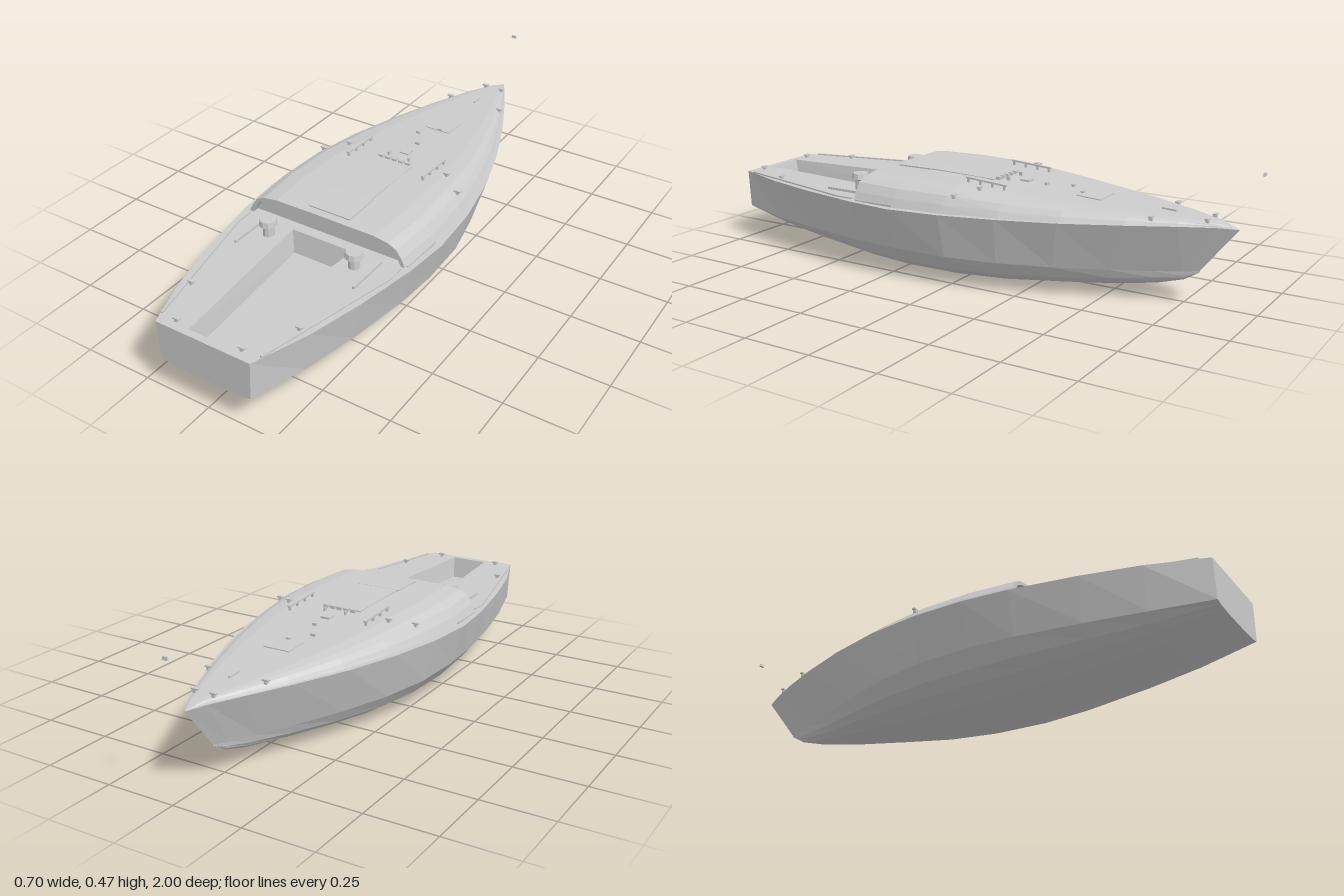
import * as THREE from 'three';

const mat = new THREE.MeshStandardMaterial({ color: 0xcccccc, flatShading: true, side: THREE.DoubleSide });

// z at sheer, z at chine, half beam, sheer y, chine half beam, chine y, keel y, roof y
const stations = [
  [1, 1, .18, .26, .172, .12, .11, .26],
  [.8, .8, .25, .26, .225, .112, .06, .26],
  [.6, .6, .298, .26, .265, .11, .033, .26],
  [.37, .37, .338, .26, .298, .11, .01, .343],
  [.2, .2, .352, .26, .308, .11, 0, .345],
  [0, 0, .34, .265, .298, .108, 0, .343],
  [-.2, -.18, .303, .27, .258, .106, .006, .33],
  [-.4, -.36, .243, .273, .195, .105, .022, .318],
  [-.6, -.53, .163, .277, .12, .105, .038, .308],
  [-.75, -.66, .093, .279, .06, .107, .057, .3],
  [-.86, -.75, .036, .278, .022, .11, .08, .291],
  [-.925, -.8, 0, .272, 0, .115, .11, .273],
];
// Bottom and roof half sections as fractions [across, up]
const bilge = [[1, 1], [.86, .5], [.7, .23], [.41, 0], [0, 0]];
const crown = [[1, 0], [.93, 0], [.89, .35], [.83, .7], [.74, .88], [.58, .98], [0, 1]];

// Skin between rows of points
function loft(rows, cap = false) {
  const n = rows[0].length, index = [];
  for (let i = 0; i < rows.length - 1; i++) {
    for (let j = 0; j < n - 1; j++) {
      const a = i * n + j, d = a + n;
      index.push(a, a + 1, d + 1, a, d + 1, d);
    }
  }
  if (cap) for (let k = 1; k < n - 1; k++) index.push(0, k + 1, k);
  const g = new THREE.BufferGeometry();
  g.setAttribute('position', new THREE.Float32BufferAttribute(rows.flat(2), 3));
  g.setIndex(index);
  g.computeVertexNormals();
  return g;
}

// Complete a half section that ends on the centreline
const mirror = half => [...half, ...half.slice(0, -1).reverse().map(([x, y, z]) => [-x, y, z])];

const hullRow = ([z, zl, b, s, cb, cy, ky]) =>
  mirror([[b, s, z], ...bilge.map(([u, v]) => [cb * u, ky + (cy - ky) * v, zl])]);

const roofRow = ([z, , b, s, , , , r]) => mirror(crown.map(([u, v]) => [-b * u, s + (r - s) * v, z]));

// Height of the deck or roof under a fitting
function deckY(x, z) {
  if (z > .37) return .26;
  const i = Math.max(1, stations.findIndex(s => s[0] <= z));
  const p = stations[i - 1], q = stations[i], t = (p[0] - z) / (p[0] - q[0]);
  const [b, s, r] = [2, 3, 7].map(k => p[k] + (q[k] - p[k]) * t);
  const u = Math.min(1, Math.abs(x) / b);
  const j = Math.max(1, crown.findIndex(c => c[0] <= u));
  const [u0, v0] = crown[j - 1], [u1, v1] = crown[j];
  return s + (r - s) * (v0 + (v1 - v0) * (u0 - u) / (u0 - u1));
}

export function createModel() {
  const model = new THREE.Group();
  const add = (name, geo, x = 0, y = 0, z = 0, parent = model) => {
    const m = new THREE.Mesh(geo, mat);
    m.name = name;
    m.position.set(x, y, z);
    parent.add(m);
    return m;
  };
  // Straight bar lying on the deck between two plan points
  const bar = (name, x0, z0, x1, z1, w, h, lift = 0) => {
    const y0 = deckY(x0, z0), y1 = deckY(x1, z1);
    const a = new THREE.Vector3(x0, y0, z0), b = new THREE.Vector3(x1, y1, z1);
    const m = add(name, new THREE.BoxGeometry(w, h, a.distanceTo(b)));
    m.position.copy(a).add(b).multiplyScalar(.5);
    m.lookAt(b);
    m.position.y += lift;
    return m;
  };

  // Hull with transom
  add('hull', loft(stations.map(hullRow), true));

  // Cabin roof and foredeck
  const forward = stations.slice(3).map(roofRow);
  add('cabinRoof', loft(forward));

  // Rim and recessed bulkhead at the aft end of the cabin
  const outer = forward[0].slice(1, -1);
  const inset = z => outer.map(([x, y]) => [x * .95, .26 + (y - .26) * .88, z]);
  add('cabinRim', loft([inset(.345), inset(.37), outer]));
  add('bulkhead', loft([inset(.345)], true));

  // Cockpit deck with the opening for the foot well
  const aft = stations.slice(0, 5);
  const outline = [...aft.map(s => [s[2], s[0]]), ...aft.slice().reverse().map(s => [-s[2], s[0]])];
  const well = [[.12, .385], [.07, .975], [-.07, .975], [-.12, .385]];
  const toV = ([x, z]) => new THREE.Vector2(x, -z);
  const shape = new THREE.Shape(outline.map(toV));
  shape.holes.push(new THREE.Path(well.map(toV)));
  add('cockpitDeck', new THREE.ShapeGeometry(shape).rotateX(-Math.PI / 2), 0, .26);

  // Foot well walls and floor
  const loop = (k, y) => [...well, well[0]].map(([x, z]) => [x * k, y, .68 + (z - .68) * (k + 1) / 2]);
  add('footWellWalls', loft([loop(1, .26), loop(.88, .18)]));
  const floor = new THREE.Shape(loop(.88, 0).slice(0, 4).map(p => toV([p[0], p[2]])));
  add('footWellFloor', new THREE.ShapeGeometry(floor).rotateX(-Math.PI / 2), 0, .18);

  // Companionway hatch, foredeck hatch and mast step
  const slab = (name, w, z0, z1, h) => bar(name, 0, z0, 0, z1, w, h);
  slab('slidingHatch', .165, .34, .2, .008);
  slab('slidingHatchFront', .155, .2, -.06, .007);
  slab('foreHatch', .1, -.37, -.46, .006);
  add('mastStep', new THREE.BoxGeometry(.035, .012, .035), 0, deckY(0, -.15), -.15);
  for (const [x, z] of [[0, -.23], [-.045, -.31], [.01, -.375]])
    add('deckEye', new THREE.BoxGeometry(.016, .012, .01), x, deckY(x, z) + .003, z);
  bar('bowTrack', 0, -.66, 0, -.71, .006, .012);

  // Row of rope clutches
  for (let i = 0; i < 5; i++)
    add('ropeClutch', new THREE.BoxGeometry(.018, .012, .014), -.055 + i * .0275, deckY(0, -.07) + .004, -.07);

  // Fittings in mirrored pairs
  for (const s of [1, -1]) {
    // Winch: flared base, drum and wide top
    const winch = new THREE.Group();
    winch.name = 'winch';
    winch.position.set(s * .172, .26, .45);
    model.add(winch);
    add('winchDrum', new THREE.CylinderGeometry(.019, .021, .04, 10), 0, .02, 0, winch);
    add('winchNeck', new THREE.CylinderGeometry(.031, .02, .008, 10), 0, .038, 0, winch);
    add('winchTop', new THREE.CylinderGeometry(.028, .032, .02, 10), 0, .05, 0, winch);

    // Handrail on posts
    bar('handrail', s * .155, 0, s * .155, -.16, .009, .006, .016);
    for (let i = 0; i < 4; i++) {
      const z = -.008 - i * .048;
      add('handrailPost', new THREE.BoxGeometry(.008, .018, .008), s * .155, deckY(.155, z) + .007, z);
    }

    // Cockpit coaming edge and sheet track
    bar('coamingEdge', s * .305, .385, s * .305, .45, .008, .01);
    bar('coamingEdge', s * .305, .45, s * .19, .96, .008, .01);
    bar('sheetTrack', s * .235, .39, s * .235, .55, .008, .012, .003);
    bar('sideDeckEdge', s * .318, .36, s * .325, .2, .006, .008);

    // Cleats: two feet and a crossbar
    for (const [x, z] of [[.205, -.085], [.28, -.03], [.11, -.67], [.035, -.83], [.21, .8], [.125, .965]]) {
      const y = deckY(x, z);
      add('cleatFoot', new THREE.BoxGeometry(.01, .012, .012), s * x, y + .004, z);
      add('cleatBar', new THREE.BoxGeometry(.024, .005, .012), s * x, y + .011, z);
    }
    // Small lead blocks beside the clutches
    add('leadBlock', new THREE.BoxGeometry(.006, .014, .012), s * .042, deckY(.042, -.1) + .006, -.1);
  }

  // Small fitting high ahead of the bow
  const tip = new THREE.CylinderGeometry(.011, .015, .011, 4).rotateY(Math.PI / 4).scale(1, 1, .35);
  add('forestayFitting', tip, -.001, .462, -.995);

  return model;
}
